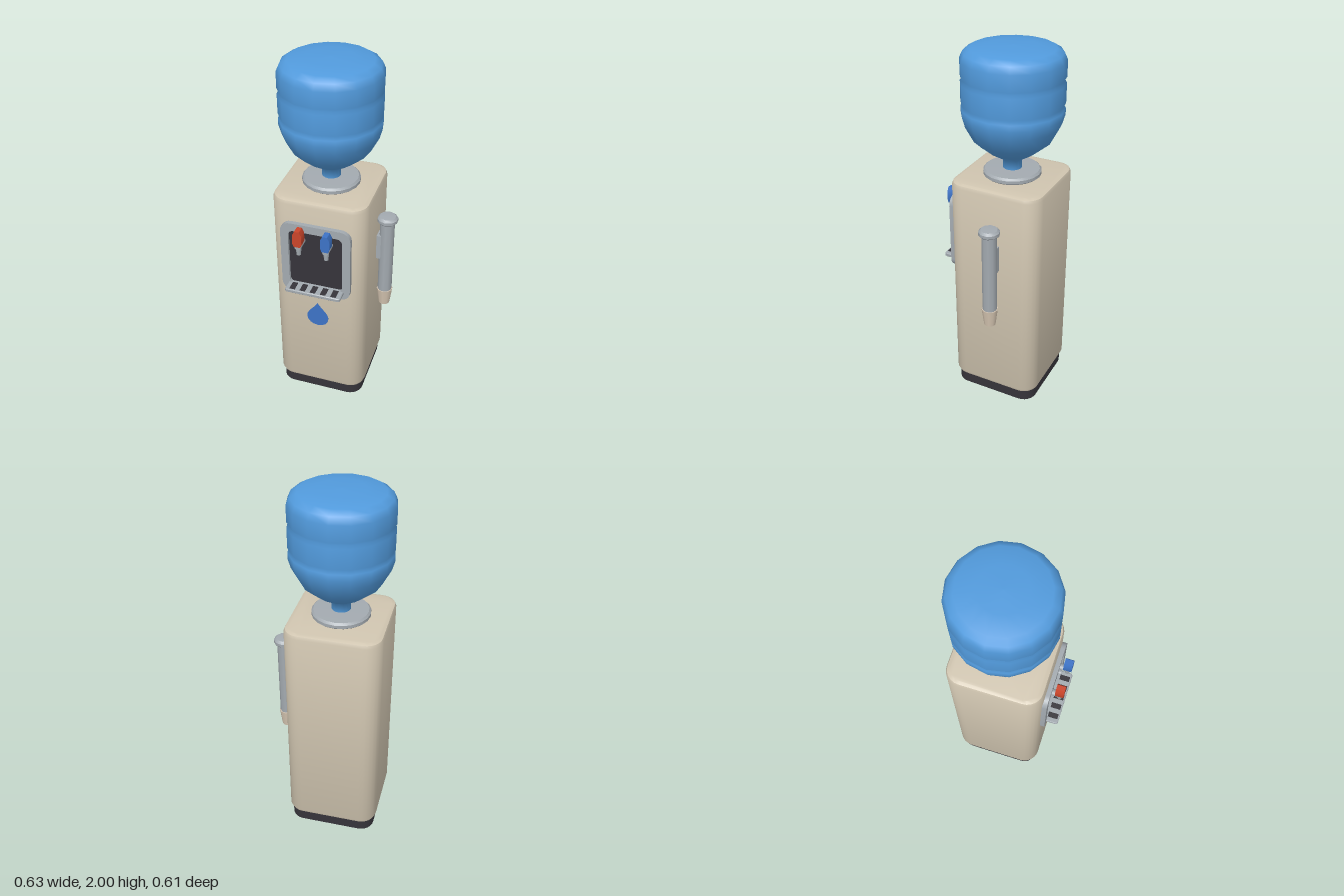
import * as THREE from 'three';
import { toCreasedNormals } from 'three/addons/utils/BufferGeometryUtils.js';

function material(name, color) {
  const m = new THREE.MeshStandardMaterial({ color });
  m.name = name;
  return m;
}

// Rounded rectangle centred on (cx, cy)
function roundedRect(w, h, r, cx = 0, cy = 0, S = THREE.Shape) {
  const x = w / 2, y = h / 2, s = new S();
  s.absarc(cx + x - r, cy + y - r, r, 0, Math.PI / 2);
  s.absarc(cx - x + r, cy + y - r, r, Math.PI / 2, Math.PI);
  s.absarc(cx - x + r, cy - y + r, r, Math.PI, Math.PI * 1.5);
  s.absarc(cx + x - r, cy - y + r, r, Math.PI * 1.5, Math.PI * 2);
  s.closePath();
  return s;
}

function extrude(shape, depth, curveSegments = 3, bevel = 0, bevelSegments = 1) {
  const geo = new THREE.ExtrudeGeometry(shape, {
    depth: depth - 2 * bevel, curveSegments, bevelEnabled: bevel > 0,
    bevelSize: bevel, bevelOffset: -bevel, bevelThickness: bevel, bevelSegments,
  });
  geo.translate(0, 0, bevel);
  return toCreasedNormals(geo, 0.65);
}

function lathe(points, segments, crease) {
  const geo = new THREE.LatheGeometry(points.map(([r, y]) => new THREE.Vector2(r, y)), segments);
  return crease ? toCreasedNormals(geo, crease) : geo;
}

export function createModel() {
  const root = new THREE.Group();
  root.name = 'waterCooler';
  const beige = material('beige casing', 0xd0c5b0);
  const dark = material('charcoal', 0x36343a);
  const bottleBlue = material('bottle blue', 0x529bdd);
  const grey = material('light grey', 0xa3aab0);
  const red = material('hot red', 0xcb452a);
  const blue = material('cold blue', 0x3d73c6);
  const cupColor = material('paper cup', 0xd6c6b2);

  function add(name, geo, mat, x = 0, y = 0, z = 0, parent = root) {
    const mesh = new THREE.Mesh(geo, mat);
    mesh.name = name;
    mesh.position.set(x, y, z);
    parent.add(mesh);
    return mesh;
  }
  const cx = -0.05, cz = -0.042;

  // Casing and plinth, extruded upwards
  const upright = (geo) => geo.rotateX(-Math.PI / 2);
  add('plinth', upright(extrude(roundedRect(0.485, 0.485, 0.075), 0.07)), dark, cx, 0, cz);
  add('casing', upright(extrude(roundedRect(0.515, 0.515, 0.09), 1.25, 3, 0.023, 2)), beige, cx, 0.063, cz);

  // Bottle seat
  add('bottleCollar', lathe([[0, 0], [0.145, 0], [0.155, 0.008], [0.155, 0.025], [0.145, 0.036], [0, 0.04]], 20, 0.5),
    grey, cx, 1.312, cz);

  // Ribbed bottle
  add('bottle', lathe([
    [0.05, 1.345], [0.05, 1.4], [0.13, 1.45], [0.207, 1.515], [0.252, 1.6], [0.266, 1.65], [0.266, 1.684],
    [0.256, 1.697], [0.266, 1.71], [0.266, 1.815], [0.256, 1.83], [0.266, 1.845], [0.266, 1.93],
    [0.25, 1.965], [0.215, 1.986], [0.12, 1.997], [0, 2],
  ], 16), bottleBlue, cx, 0, cz);

  // Dispensing alcove
  const frame = roundedRect(0.382, 0.44, 0.055);
  frame.holes.push(roundedRect(0.296, 0.345, 0.03, 0, 0.002, THREE.Path));
  add('alcoveFrame', extrude(frame, 0.026), grey, cx, 0.97, 0.213);
  add('alcoveBack', new THREE.BoxGeometry(0.31, 0.36, 0.009), dark, cx, 0.972, 0.218);

  // Drip tray with slots
  add('dripTray', upright(extrude(roundedRect(0.31, 0.085, 0.012), 0.022, 2, 0.004)), grey, cx, 0.783, 0.2625);
  for (let i = -2; i <= 2; i++) {
    add('traySlot', new THREE.BoxGeometry(0.03, 0.004, 0.056), dark, cx + i * 0.0575, 0.805, 0.268);
  }

  // Hot and cold taps
  const lever = new THREE.Shape();
  [[-0.017, 0], [0.017, 0], [0.025, 0.02], [0.025, 0.07], [0.013, 0.095], [-0.013, 0.095], [-0.025, 0.07], [-0.025, 0.02]]
    .forEach(([x, y], i) => (i ? lever.lineTo(x, y) : lever.moveTo(x, y)));
  for (const [name, x, mat] of [['hotTap', -0.125, red], ['coldTap', 0.025, blue]]) {
    const tap = new THREE.Group();
    tap.name = name;
    tap.position.set(x, 1.095, 0);
    root.add(tap);
    add('lever', extrude(lever, 0.046), mat, 0, 0, 0.257, tap);
    add('pipe', new THREE.CylinderGeometry(0.018, 0.018, 0.075, 10).rotateX(Math.PI / 2), grey, 0, -0.007, 0.2575, tap);
    add('nozzle', new THREE.CylinderGeometry(0.015, 0.012, 0.055, 10), grey, 0, -0.033, 0.279, tap);
  }

  // Water drop emblem
  const drop = new THREE.Shape();
  drop.moveTo(0, 0.095);
  drop.bezierCurveTo(-0.015, 0.06, -0.062, 0.03, -0.062, -0.005);
  drop.bezierCurveTo(-0.062, -0.085, 0.062, -0.085, 0.062, -0.005);
  drop.bezierCurveTo(0.062, 0.03, 0.015, 0.06, 0, 0.095);
  add('waterDrop', extrude(drop, 0.005, 8), blue, cx, 0.575, 0.2135);

  // Cup dispenser on the side
  const cups = new THREE.Group();
  cups.name = 'cupDispenser';
  cups.position.set(0.258, 0, -0.064);
  root.add(cups);
  add('cupTube', new THREE.CylinderGeometry(0.04, 0.04, 0.47, 10), grey, 0, 0.87, 0, cups);
  add('tubeCap', lathe([[0, 1.097], [0.05, 1.097], [0.057, 1.104], [0.057, 1.12], [0.045, 1.132], [0, 1.136]], 10, 0.7),
    grey, 0, 0, 0, cups);
  add('tubeBracket', new THREE.BoxGeometry(0.035, 0.15, 0.06), grey, -0.038, 0.935, 0, cups);
  add('paperCup', new THREE.CylinderGeometry(0.045, 0.032, 0.1, 10), cupColor, 0, 0.59, 0, cups);

  return root;
}
